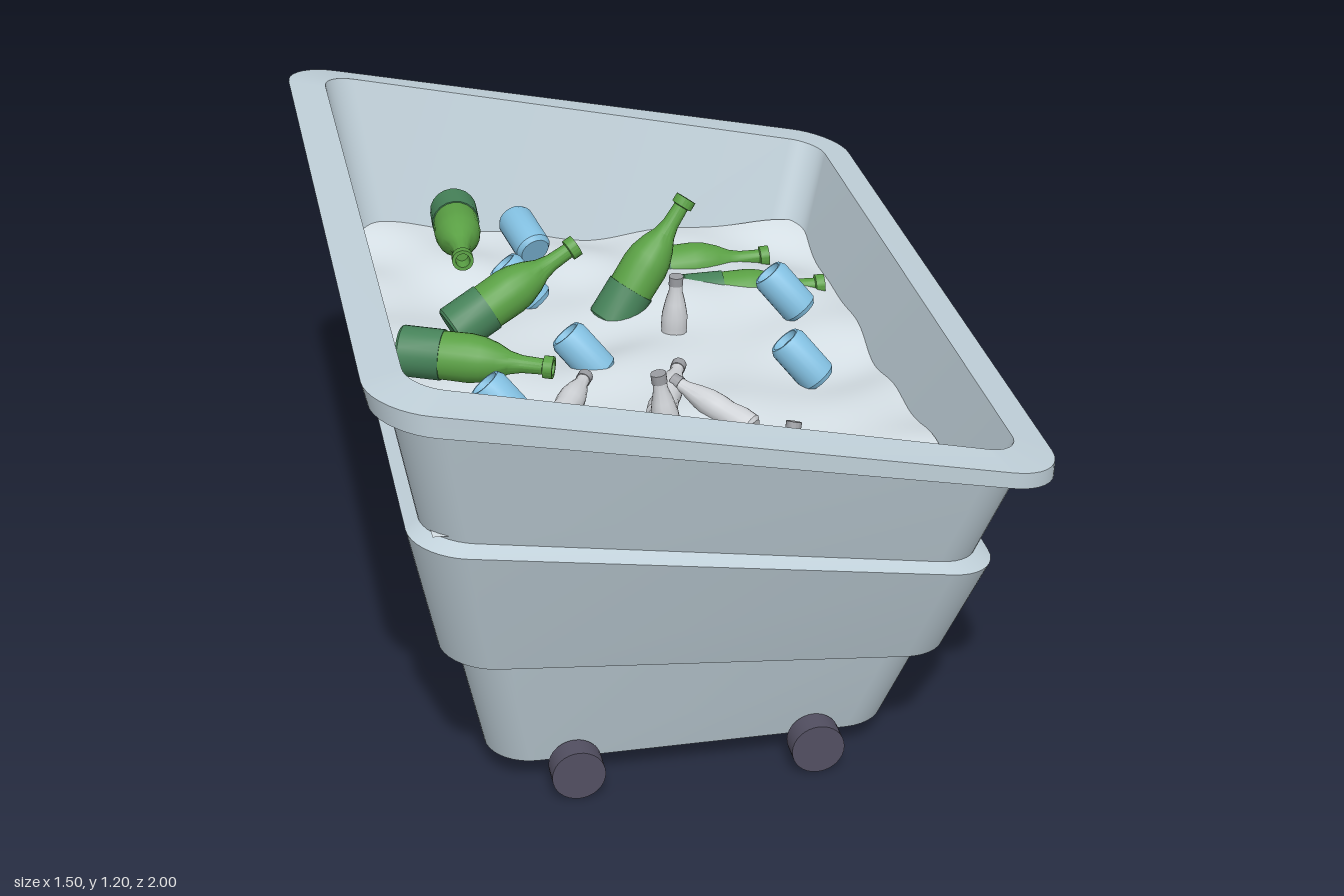
import * as THREE from 'three';
import { toCreasedNormals } from 'three/addons/utils/BufferGeometryUtils.js';

const mat = (name, color, side = THREE.FrontSide) => {
  const m = new THREE.MeshStandardMaterial({ color, side });
  m.name = name;
  return m;
};

// Rounded rectangle ring whose height slopes from the -x side to the +x side
function ring({ x, y, z, r }, steps = 9) {
  const [xl, xr] = x, [yl, yr] = y, pts = [];
  const corners = [[xr - r, z - r], [xl + r, z - r], [xl + r, -z + r], [xr - r, -z + r]];
  corners.forEach(([cx, cz], i) => {
    for (let k = 0; k <= steps; k++) {
      const a = (i + k / steps) * Math.PI / 2;
      const px = cx + r * Math.cos(a);
      pts.push([px, yl + (yr - yl) * (px - xl) / (xr - xl), cz + r * Math.sin(a)]);
    }
  });
  return pts;
}

// Skin through a list of rings, closed at both ends
function loft(specs) {
  const rings = specs.map(s => ring(s)), n = rings[0].length;
  const pos = rings.flat(2), idx = [];
  const cap = (s) => {
    pos.push((s.x[0] + s.x[1]) / 2, (s.y[0] + s.y[1]) / 2, 0);
    return pos.length / 3 - 1;
  };
  const first = cap(specs[0]), last = cap(specs[specs.length - 1]);
  const top = (rings.length - 1) * n;
  for (let i = 0; i < n; i++) {
    const j = (i + 1) % n;
    for (let k = 0; k < top; k += n) {
      idx.push(k + i, k + n + i, k + j, k + j, k + n + i, k + n + j);
    }
    idx.push(first, i, j, last, top + j, top + i);
  }
  const g = new THREE.BufferGeometry();
  g.setAttribute('position', new THREE.Float32BufferAttribute(pos, 3));
  g.setIndex(idx);
  return toCreasedNormals(g, 0.4);
}

const lathe = (pts, sides = 20) =>
  toCreasedNormals(new THREE.LatheGeometry(pts.map(p => new THREE.Vector2(...p)), sides), 0.6);

// Lumpy surface of the rubbish
const heapHeight = (x, z) => 0.74 - 0.08 * x
  + 0.010 * Math.sin(7 * x + 3 * z + 1) + 0.009 * Math.sin(9 * z - 4 * x)
  + 0.007 * Math.sin(17 * x + 2 + 3 * Math.sin(5 * z)) + 0.006 * Math.cos(19 * z + 6 * x);

export function createModel() {
  const model = new THREE.Group();
  const bin = mat('bin grey', 0xc0d0d9);
  const dark = mat('wheel dark', 0x524f61);
  const heapMat = mat('rubbish pale grey', 0xd8e2e8, THREE.DoubleSide);
  const green = mat('bottle green', 0x5aa044);
  const labelGreen = mat('label dark green', 0x468259);
  const blue = mat('can blue', 0x82bfe0);
  const white = mat('plastic grey', 0xcfd2d6);
  const capGrey = mat('cap grey', 0x9a9ca1);

  const add = (parent, name, geo, material) => {
    const m = new THREE.Mesh(geo, material);
    m.name = name;
    parent.add(m);
    return m;
  };

  // Bin shell: stepped outside, sloping rim, hollow inside
  add(model, 'binShell', loft([
    { x: [-0.475, 0.48], y: [0.065, 0.065], z: 0.65, r: 0.11 },
    { x: [-0.548, 0.552], y: [0.412, 0.317], z: 0.735, r: 0.11 },
    { x: [-0.587, 0.59], y: [0.412, 0.312], z: 0.77, r: 0.12 },
    { x: [-0.66, 0.657], y: [0.772, 0.575], z: 0.875, r: 0.12 },
    { x: [-0.63, 0.627], y: [0.787, 0.592], z: 0.84, r: 0.11 },
    { x: [-0.695, 0.7], y: [1.132, 0.853], z: 0.925, r: 0.11 },
    { x: [-0.738, 0.748], y: [1.142, 0.845], z: 1.0, r: 0.13 },
    { x: [-0.75, 0.748], y: [1.195, 0.882], z: 1.0, r: 0.13 },
    { x: [-0.66, 0.67], y: [1.194, 0.902], z: 0.905, r: 0.08 },
    { x: [-0.54, 0.47], y: [0.42, 0.25], z: 0.7, r: 0.08 },
  ]), bin);

  // Axles and wheels
  for (const x of [-0.282, 0.284]) {
    const axle = add(model, 'axle', new THREE.CylinderGeometry(0.02, 0.02, 1.36, 16), dark);
    axle.rotation.x = Math.PI / 2;
    axle.position.set(x, 0.053, 0);
    for (const side of [-1, 1]) {
      const wheel = add(model, 'wheel', new THREE.CylinderGeometry(0.0625, 0.0625, 0.056, 32), dark);
      wheel.rotation.x = Math.PI / 2;
      wheel.position.set(x, 0.0625, side * 0.698);
    }
  }

  // Rubbish heap
  const heap = new THREE.PlaneGeometry(1.22, 1.66, 48, 64).rotateX(-Math.PI / 2);
  const p = heap.attributes.position;
  for (let i = 0; i < p.count; i++) p.setY(i, heapHeight(p.getX(i), p.getZ(i)));
  heap.computeVertexNormals();
  add(model, 'rubbishHeap', heap, heapMat);

  // Stand an item on its base point, aimed at its tip
  const place = (name, base, tip, parts) => {
    const g = new THREE.Group();
    g.name = name;
    const from = new THREE.Vector3(...base);
    g.position.copy(from);
    g.quaternion.setFromUnitVectors(new THREE.Vector3(0, 1, 0),
      new THREE.Vector3(...tip).sub(from).normalize());
    parts.forEach(([n, geo, m]) => add(g, n, geo, m));
    model.add(g);
  };

  // Green glass bottles
  const glass = [
    ['bottleLabel', lathe([[0, 0], [0.056, 0], [0.061, 0.006], [0.061, 0.104], [0.058, 0.104]]), labelGreen],
    ['bottleBody', lathe([[0.058, 0.1], [0.059, 0.17], [0.055, 0.2], [0.043, 0.235], [0.028, 0.265],
      [0.021, 0.295], [0.019, 0.345], [0.027, 0.347], [0.027, 0.37], [0.018, 0.37], [0.016, 0.33], [0, 0.33]]), green],
  ];
  [
    [[-0.35, 0.855, -0.75], [-0.375, 0.875, -0.38]],
    [[0.095, 0.695, -0.62], [0.465, 0.72, -0.6]],
    [[0.205, 0.685, -0.46], [0.575, 0.7, -0.44]],
    [[-0.015, 0.7, -0.315], [0.185, 0.98, -0.385]],
    [[-0.435, 0.795, -0.15], [-0.105, 0.97, -0.225]],
    [[-0.585, 0.855, 0.05], [-0.245, 0.84, 0.18]],
    [[0.185, 0.68, 0.53], [0.535, 0.7, 0.62]],
  ].forEach(([a, b]) => place('glassBottle', a, b, glass));

  // Small plastic bottles
  const plastic = [
    ['plasticBody', lathe([[0, 0], [0.026, 0], [0.034, 0.008], [0.036, 0.04], [0.031, 0.075], [0.033, 0.1],
      [0.032, 0.13], [0.025, 0.165], [0.017, 0.195], [0.016, 0.215]], 16), white],
    ['plasticCap', lathe([[0.016, 0.212], [0.018, 0.212], [0.018, 0.235], [0, 0.235]], 16), capGrey],
  ];
  [
    [[-0.26, 0.775, 0.34], [-0.16, 0.785, 0.14]],
    [[-0.015, 0.76, 0.32], [0.07, 0.78, 0.12]],
    [[0.195, 0.735, 0.38], [0.06, 0.79, 0.24]],
    [[0.12, 0.65, -0.18], [0.125, 0.87, -0.17]],
    [[-0.025, 0.745, 0.52], [-0.06, 0.98, 0.525]],
    [[0.19, 0.64, 0.66], [0.235, 0.83, 0.59]],
    [[-0.35, 0.79, 0.79], [-0.265, 0.79, 0.58]],
  ].forEach(([a, b]) => place('plasticBottle', a, b, plastic));

  // Drink cans with a recessed top
  const can = [['canBody', lathe([[0, 0], [0.038, 0], [0.047, 0.012], [0.047, 0.122], [0.04, 0.135],
    [0.034, 0.135], [0.031, 0.118], [0, 0.118]]), blue]];
  const tilt = [-0.083, 0.1, -0.03];
  [[-0.23, 0.795, -0.39], [0.425, 0.775, -0.255], [-0.14, 0.79, 0.025], [0.39, 0.745, 0.07], [-0.385, 0.855, 0.375]]
    .forEach(c => place('drinkCan', c.map((v, i) => v - tilt[i] / 2), c.map((v, i) => v + tilt[i] / 2), can));
  place('drinkCan', [-0.16, 0.79, -0.59], [-0.2, 0.84, -0.72], can);

  return model;
}
